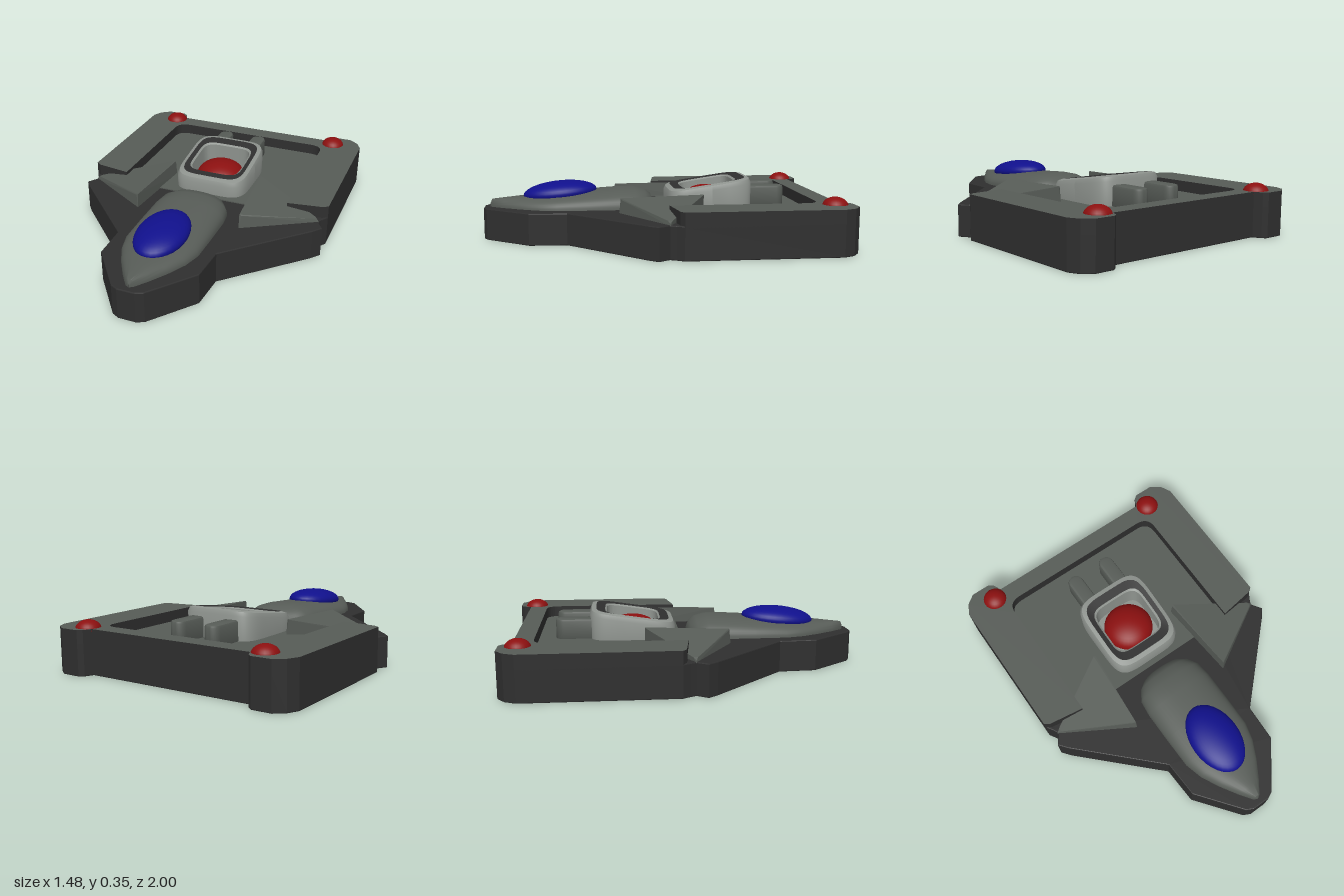
import * as THREE from 'three';
import { toCreasedNormals } from 'three/addons/utils/BufferGeometryUtils.js';
import { ConvexGeometry } from 'three/addons/geometries/ConvexGeometry.js';

const material = (name, color) => {
  const m = new THREE.MeshStandardMaterial({ color });
  m.name = name;
  return m;
};

// Mirror a half outline of [x, z] points (front to rear) into a full shape
function mirroredShape(half) {
  const full = [...half, ...half.slice().reverse().map(([x, z]) => [-x, z])];
  return new THREE.Shape(full.map(([x, z]) => new THREE.Vector2(x, -z)));
}

// Plan shape raised from y0 to y1
function slab(shape, y0, y1, bevel = 0) {
  const g = new THREE.ExtrudeGeometry(shape, {
    depth: y1 - y0 - 2 * bevel, bevelEnabled: bevel > 0, bevelThickness: bevel,
    bevelSize: bevel, bevelOffset: -bevel, bevelSegments: 2, curveSegments: 8,
  });
  g.rotateX(-Math.PI / 2).translate(0, y0 + bevel, 0);
  return g;
}

// Skin over a list of equally long point rings
function loft(rings, crease = 0.6) {
  const n = rings[0].length, index = [];
  for (let i = 0; i < rings.length - 1; i++) {
    for (let j = 0; j < n - 1; j++) {
      const a = i * n + j, b = a + n;
      index.push(a, a + 1, b, a + 1, b + 1, b);
    }
  }
  const g = new THREE.BufferGeometry();
  g.setAttribute('position', new THREE.Float32BufferAttribute(rings.flat(2), 3));
  g.setIndex(index);
  return toCreasedNormals(g, crease);
}

const power = (v, e) => Math.sign(v) * Math.pow(Math.abs(v), e);

export function createModel() {
  const group = new THREE.Group();
  const dark = material('charcoal', 0x2f2f2f);
  const grey = material('hull grey', 0x575c57);
  const light = material('light grey', 0x8d928d);
  const blue = material('canopy blue', 0x10108c);
  const red = material('lamp red', 0x8c1010);
  const add = (name, geometry, mat) => {
    const m = new THREE.Mesh(geometry, mat);
    m.name = name;
    group.add(m);
    return m;
  };

  // Dark base following the whole outline
  const rear = [[0.74, -0.9], [0.71, -0.96], [0.655, -1], [0.545, -1], [0.52, -0.98], [0.5, -0.935]];
  add('base', slab(mirroredShape([
    [0.05, 0.995], [0.09, 0.975], [0.28, 0.73], [0.29, 0.52], [0.32, 0.49],
    [0.7, 0.11], [0.74, 0.06], [0.7, 0], [0.715, -0.03], [0.74, -0.07], ...rear,
  ]), 0, 0.18, 0.005), dark);

  // Raised rear border, open to the front
  const border = new THREE.Shape();
  const outer = [[0.51, -0.02], [0.71, -0.05], [0.74, -0.07], ...rear];
  const path = [...outer, ...outer.slice().reverse().map(([x, z]) => [-x, z])];
  path.forEach(([x, z], i) => (i ? border.lineTo(x, -z) : border.moveTo(x, -z)));
  border.lineTo(-0.51, 0.75);
  border.quadraticCurveTo(-0.51, 0.83, -0.43, 0.83);
  border.lineTo(0.43, 0.83);
  border.quadraticCurveTo(0.51, 0.83, 0.51, 0.75);
  add('rearBorder', slab(border, 0.17, 0.25), [grey, dark]);

  // Sunken deck between the borders
  const deck = new THREE.BoxGeometry(1.03, 0.009, 0.82);
  deck.translate(0, 0.182, -0.435);
  add('deck', deck, grey);

  // Nose body: [z, half width, top height]
  const noseSections = [
    [0.018, 0.01, 0.185], [0.02, 0.07, 0.21], [0.035, 0.12, 0.245], [0.07, 0.17, 0.268],
    [0.13, 0.205, 0.282], [0.22, 0.215, 0.282], [0.4, 0.215, 0.27], [0.58, 0.212, 0.257],
    [0.68, 0.185, 0.247], [0.78, 0.135, 0.239], [0.88, 0.073, 0.231], [0.95, 0.022, 0.225],
    [0.962, 0.002, 0.2],
  ];
  add('nose', loft(noseSections.map(([z, w, top]) => {
    const ring = [];
    for (let j = 0; j <= 24; j++) {
      const a = (j / 24) * Math.PI;
      ring.push([w * power(Math.cos(a), 0.8), 0.175 + (top - 0.175) * power(Math.sin(a), 0.8), z]);
    }
    return ring;
  }), 0.9), grey);

  // Canopy, tilted down towards the front
  const canopy = add('canopy', new THREE.SphereGeometry(1, 32, 20), blue);
  canopy.scale.set(0.14, 0.066, 0.212);
  canopy.rotation.x = 0.09;
  canopy.position.set(0, 0.259, 0.56);

  for (const s of [1, -1]) {
    // Wedge wing, high inside and low at the tip
    const wing = [
      [0.275, 0.27, -0.235], [0.285, 0.27, -0.24], [0.31, 0.262, 0.225], [0.322, 0.254, 0.222],
      [0.68, 0.2, 0.01], [0.7, 0.188, 0], [0.68, 0.2, -0.015],
      [0.27, 0.175, -0.24], [0.31, 0.175, 0.235], [0.705, 0.175, 0],
    ];
    add(s > 0 ? 'leftWing' : 'rightWing',
      new ConvexGeometry(wing.map(([x, y, z]) => new THREE.Vector3(s * x, y, z))), grey);

    // Corner lamp
    const lamp = add(s > 0 ? 'leftLamp' : 'rightLamp', new THREE.SphereGeometry(0.07, 24, 16), red);
    lamp.scale.y = 0.75;
    lamp.position.set(s * 0.56, 0.238, -0.9);

    // Round-ended pipe behind the turret
    const pipe = new THREE.Shape();
    pipe.moveTo(-0.045, 0.45);
    pipe.lineTo(0.045, 0.45);
    pipe.lineTo(0.045, 0.69);
    pipe.absarc(0, 0.69, 0.045, 0, Math.PI, false);
    pipe.closePath();
    const pipeGeometry = toCreasedNormals(slab(pipe, 0.175, 0.3, 0.015), 0.7);
    pipeGeometry.translate(s * 0.11, 0, 0);
    add(s > 0 ? 'leftPipe' : 'rightPipe', pipeGeometry, grey);
  }

  // Hollow turret with a sloping rim; height is a level or an offset from the slope
  const turretRing = (w, d, height, sloped) => {
    const ring = [];
    for (let j = 0; j <= 64; j++) {
      const a = (j / 64) * Math.PI * 2;
      const x = w * power(Math.cos(a), 0.4), z = -d * power(Math.sin(a), 0.4);
      ring.push([x, sloped ? 0.315 - 0.15 * z + height : height, z - 0.3]);
    }
    return ring;
  };
  const rimOuter = turretRing(0.19, 0.207, 0.002, true);
  const rimInner = turretRing(0.163, 0.157, -0.004, true);
  add('turretShell', loft([
    turretRing(0.22, 0.243, 0.175, false), turretRing(0.222, 0.243, -0.03, true),
    turretRing(0.212, 0.233, -0.006, true), rimOuter,
  ]), light);
  add('turretRim', loft([rimOuter, rimInner]), dark);
  add('turretWell', loft([
    rimInner, turretRing(0.152, 0.148, -0.012, true),
    turretRing(0.147, 0.146, 0.2, false), turretRing(0, 0, 0.2, false),
  ]), light);

  // Red dome inside the turret
  const dome = add('turretDome', new THREE.SphereGeometry(0.145, 32, 20), red);
  dome.scale.y = 0.6;
  dome.position.set(0, 0.205, -0.3);

  return group;
}
